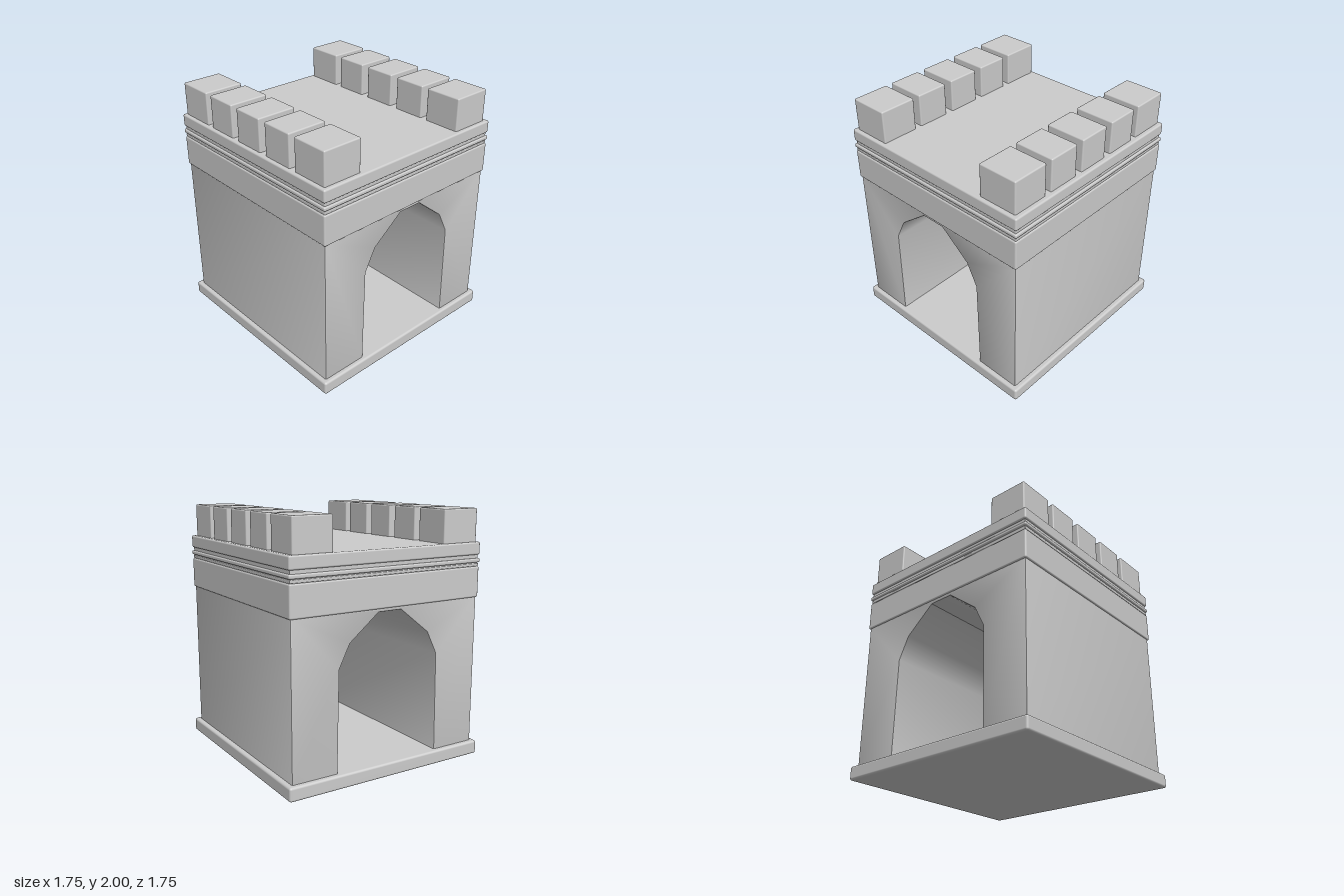
import * as THREE from 'three';
import { toCreasedNormals } from 'three/addons/utils/BufferGeometryUtils.js';
import { RoundedBoxGeometry } from 'three/addons/geometries/RoundedBoxGeometry.js';

const material = new THREE.MeshStandardMaterial({ color: 0xcccccc });

// Softly bevelled block given by its extents
function block(name, [x0, x1], [y0, y1], [z0, z1], radius = 0.014) {
  const geometry = new RoundedBoxGeometry(x1 - x0, y1 - y0, z1 - z0, 2, radius);
  const mesh = new THREE.Mesh(geometry, material);
  mesh.position.set((x0 + x1) / 2, (y0 + y1) / 2, (z0 + z1) / 2);
  mesh.name = name;
  return mesh;
}

// Gatehouse body with a faceted arch passing through from front to back
function archedWalls() {
  const outline = [
    [-0.84, 0.1], [-0.456, 0.1], [-0.445, 0.9], [-0.355, 1.08], [-0.1, 1.28],
    [0.1, 1.28], [0.348, 1.08], [0.438, 0.9], [0.45, 0.1],
    [0.835, 0.1], [0.835, 1.32], [-0.84, 1.32],
  ].map(([x, y]) => new THREE.Vector2(x, y));
  const bevel = 0.012, z0 = -0.835, z1 = 0.84;
  const geometry = new THREE.ExtrudeGeometry(new THREE.Shape(outline), {
    depth: z1 - z0 - 2 * bevel,
    bevelThickness: bevel,
    bevelSize: bevel,
    bevelOffset: -bevel,
    bevelSegments: 2,
  });
  geometry.translate(0, 0, z0 + bevel);
  const mesh = new THREE.Mesh(toCreasedNormals(geometry, 0.6), material);
  mesh.name = 'archedWalls';
  return mesh;
}

export function createModel() {
  const model = new THREE.Group();
  model.name = 'gatehouse';

  model.add(block('base', [-0.875, 0.875], [0, 0.11], [-0.875, 0.875], 0.018));
  model.add(archedWalls());

  // Stacked courses above the arch
  const courses = [
    ['frieze', 0.848, 1.305, 1.55, 0.014],
    ['recessedCourse', 0.838, 1.53, 1.66, 0.006],
    ['lowerMolding', 0.842, 1.55, 1.575, 0.006],
    ['upperMolding', 0.852, 1.58, 1.613, 0.012],
    ['roofSlab', 0.85, 1.64, 1.74, 0.014],
  ];
  for (const [name, half, y0, y1, radius] of courses) {
    const x = [-half - 0.003, half - 0.003];
    const z = [-half + 0.003, half + 0.003];
    model.add(block(name, x, [y0, y1], z, radius));
  }

  // Battlements along both sides, with longer blocks at the corners
  const battlements = new THREE.Group();
  battlements.name = 'battlements';
  const spansX = { right: [-0.824, -0.5], left: [0.487, 0.811] };
  const spansZ = [[-0.827, -0.523], [-0.467, -0.2], [-0.135, 0.13], [0.195, 0.462], [0.517, 0.821]];
  for (const [side, spanX] of Object.entries(spansX)) {
    spansZ.forEach((spanZ, i) => {
      battlements.add(block(`${side}Merlon${i + 1}`, spanX, [1.72, 2], spanZ, 0.011));
    });
  }
  model.add(battlements);

  return model;
}
